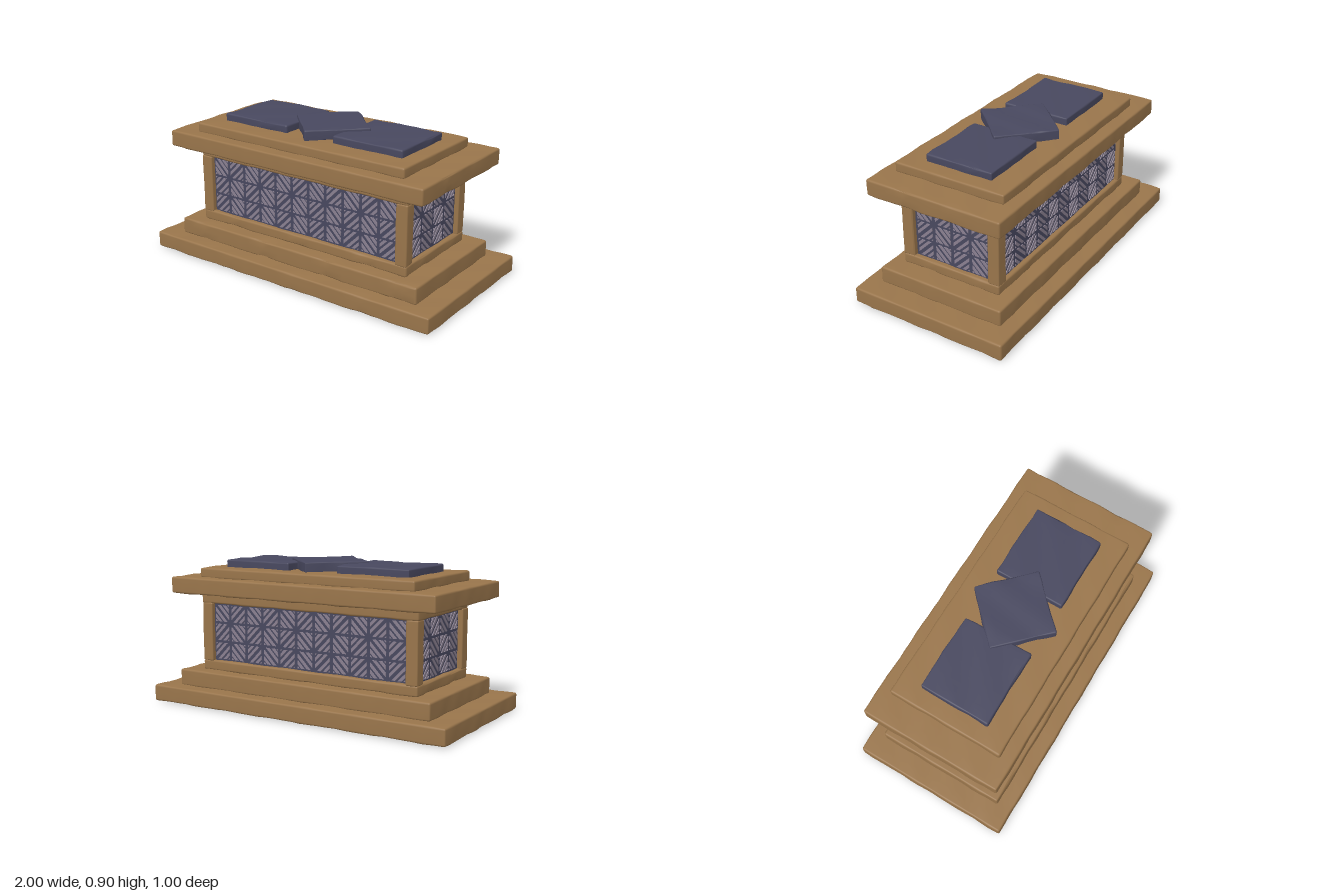
import * as THREE from 'three';
import { mergeVertices } from 'three/addons/utils/BufferGeometryUtils.js';

const sandstone = new THREE.MeshStandardMaterial({ color: 0x99754b });
sandstone.name = 'sandstone';
const slate = new THREE.MeshStandardMaterial({ color: 0x48485f });
slate.name = 'slate';
const paleSlate = new THREE.MeshStandardMaterial({ color: 0x8a8090 });
paleSlate.name = 'paleSlate';

// Box with rounded, slightly chipped edges and a gentle hand-cut waviness
function wornBlock(w, h, d, r, seed, wobble = 0.003) {
  const half = [w / 2, h / 2, d / 2];
  const segs = [w, h, d].map((s) => 4 + Math.max(1, Math.round(s / 0.06)));
  const geo = new THREE.BoxGeometry(w, h, d, ...segs);
  geo.deleteAttribute('uv');
  geo.deleteAttribute('normal');
  const pos = geo.attributes.position;
  for (let i = 0; i < pos.count; i++) {
    const p = [pos.getX(i), pos.getY(i), pos.getZ(i)];
    const inner = [], off = [];
    for (let a = 0; a < 3; a++) {
      // two rings of vertices are gathered inside the rounding at each end
      const n = segs[a], k = Math.round((p[a] / (2 * half[a]) + 0.5) * n), core = half[a] - r;
      const q = k < 2 ? -half[a] + r * 0.5 * k
        : k > n - 2 ? half[a] - r * 0.5 * (n - k)
          : -core + 2 * core * (k - 2) / (n - 4);
      inner[a] = Math.min(core, Math.max(-core, q));
      off[a] = q - inner[a];
    }
    const len = Math.hypot(...off);
    const [x, y, z] = inner;
    const wave = Math.sin(x * 17 + z * 23 + seed * 2.1) + 0.6 * Math.sin(x * 41 - z * 37 + y * 19 + seed);
    const chip = Math.max(0, Math.sin(x * 13 + seed * 3.7) * Math.sin(z * 19 + seed * 1.3 + 1) - 0.75);
    const onEdge = off.filter((o) => Math.abs(o) > 1e-6).length > 1;
    const reach = r + wobble * (wave - 1) * 0.6 - (onEdge ? chip * 0.04 : 0);
    pos.setXYZ(i, ...inner.map((c, a) => c + off[a] / len * reach));
  }
  const smooth = mergeVertices(geo, 1e-5);
  smooth.computeVertexNormals();
  return smooth;
}

// Raised diagonal bars filling a grid of square cells
function latticeBars(width, height, cols, rows) {
  const shapes = [];
  const cw = width / cols, ch = height / rows, h = Math.min(cw, ch) / 2 - 0.008;
  const bands = [[0.014, 0.037], [0.054, 0.077], [0.09, 2 * h]];
  for (let i = 0; i < cols; i++) {
    for (let j = 0; j < rows; j++) {
      const cx = (i + 0.5) * cw - width / 2, cy = (j + 0.5) * ch - height / 2;
      const lean = (i + (j === rows - 1 ? 1 : 0)) % 2 ? -1 : 1;
      for (const [a, b] of bands) {
        for (const side of [1, -1]) {
          const corners = [[h, a - h], [h, b - h], [b - h, h], [a - h, h]];
          shapes.push(new THREE.Shape(corners.map(([u, v]) =>
            new THREE.Vector2(cx - u * side * lean, cy + v * side))));
        }
      }
    }
  }
  return new THREE.ExtrudeGeometry(shapes, { depth: 0.006, bevelEnabled: false });
}

export function createModel() {
  const model = new THREE.Group();
  model.name = 'stoneTomb';
  const add = (name, geo, mat, x = 0, y = 0, z = 0, parent = model) => {
    const mesh = new THREE.Mesh(geo, mat);
    mesh.name = name;
    mesh.position.set(x, y, z);
    parent.add(mesh);
    return mesh;
  };

  // Stepped base, mouldings and lid: name, width, depth, bottom, top
  [
    ['baseSlab', 2.0, 1.0, 0.004, 0.108],
    ['baseStep', 1.73, 0.815, 0.1, 0.207],
    ['lowerMoulding', 1.495, 0.65, 0.2, 0.268],
    ['upperMoulding', 1.495, 0.65, 0.617, 0.685],
    ['lidSlab', 1.8, 0.868, 0.68, 0.784],
    ['lidStep', 1.475, 0.712, 0.775, 0.841],
  ].forEach(([name, w, d, y0, y1], i) =>
    add(name, wornBlock(w, y1 - y0, d, 0.014, i + 1), sandstone, 0, (y0 + y1) / 2, 0));

  // Corner posts
  for (const x of [-1, 1]) {
    for (const z of [-1, 1]) {
      add('cornerPost', wornBlock(0.077, 0.365, 0.077, 0.01, x + 2 * z, 0.002),
        sandstone, x * 0.708, 0.442, z * 0.287);
    }
  }

  // Dark chest body with pale lattice on all four walls
  add('chestBody', new THREE.BoxGeometry(1.43, 0.37, 0.592), slate, 0, 0.442, 0);
  const longBars = latticeBars(1.34, 0.35, 11, 3);
  const shortBars = latticeBars(0.49, 0.35, 4, 3);
  for (let i = 0; i < 4; i++) {
    const end = i % 2 === 1;
    const wall = new THREE.Group();
    wall.name = end ? 'endLattice' : 'longLattice';
    wall.rotation.y = i * Math.PI / 2;
    add('latticeBars', end ? shortBars : longBars, paleSlate, 0, 0.443, end ? 0.714 : 0.295, wall);
    model.add(wall);
  }

  // Slate tiles on the lid, the middle one turned to a diamond
  add('leftTile', wornBlock(0.47, 0.06, 0.435, 0.012, 9, 0.004), slate, 0.405, 0.856, 0);
  add('rightTile', wornBlock(0.475, 0.06, 0.435, 0.012, 12, 0.004), slate, -0.395, 0.856, 0);
  const diamond = add('diamondTile', wornBlock(0.39, 0.068, 0.39, 0.01, 15, 0.004), slate, 0.018, 0.866, 0);
  diamond.rotation.y = Math.PI / 4;

  return model;
}
